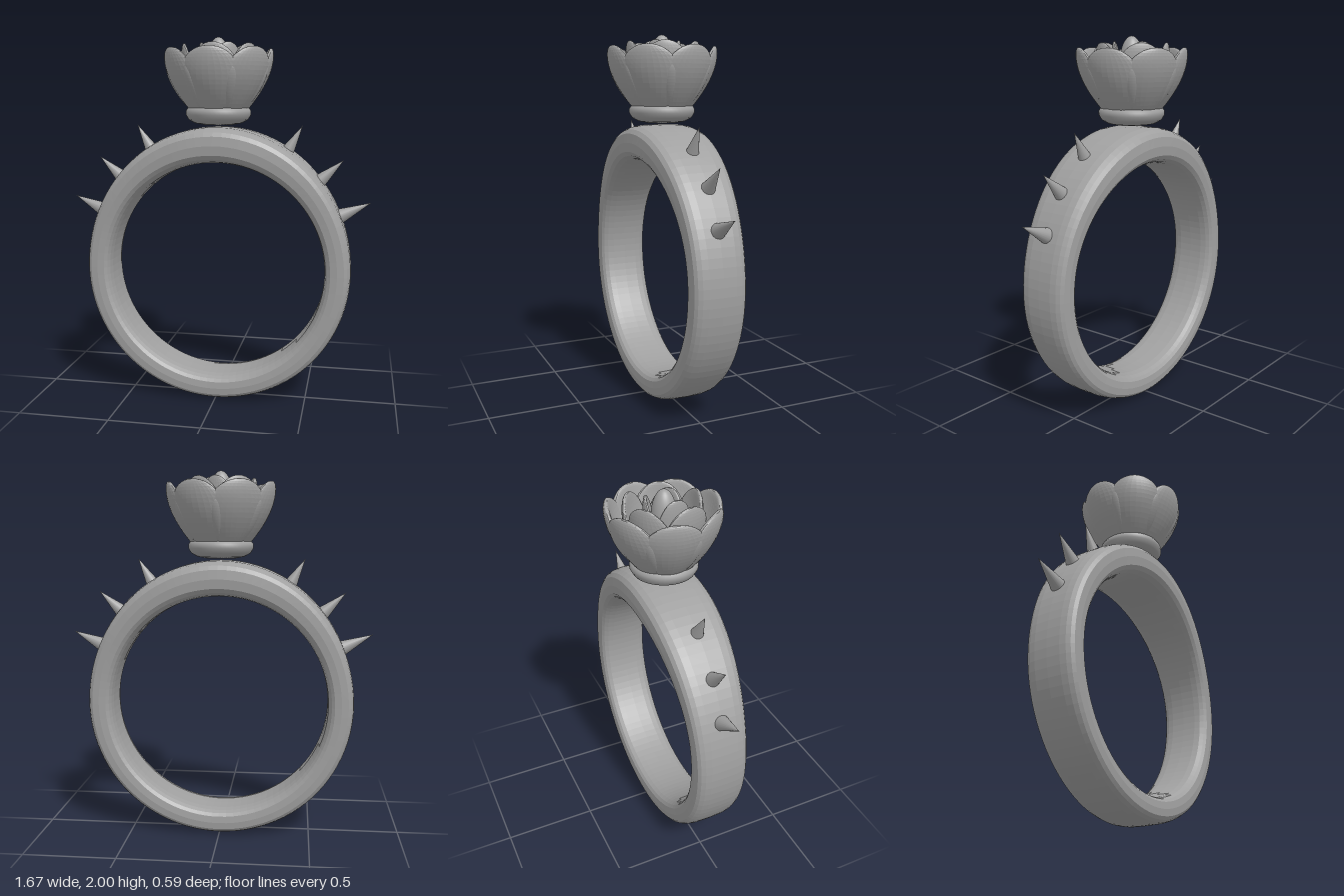
import * as THREE from 'three';

const silver = new THREE.MeshStandardMaterial({ color: 0xa0a0a0 });
silver.name = 'silver';

const CENTRE_Y = 0.735; // centre of the finger hole
const HOLE_R = 0.595;
const signedPow = (v, p) => Math.sign(v) * Math.pow(Math.abs(v), p);

// Moves every vertex by a rule
function reshape(geometry, rule) {
  const pos = geometry.attributes.position;
  for (let i = 0; i < pos.count; i++) {
    pos.setXYZ(i, ...rule(pos.getX(i), pos.getY(i), pos.getZ(i)));
  }
  return geometry;
}

function faceted(geometry) {
  const g = geometry.toNonIndexed();
  g.computeVertexNormals();
  return g;
}

function add(parent, name, geometry) {
  const mesh = new THREE.Mesh(geometry, silver);
  mesh.name = name;
  parent.add(mesh);
  return mesh;
}

// Rounded-rectangle band that grows wider and thicker towards the top
function bandGeometry() {
  return faceted(reshape(new THREE.TorusGeometry(2, 1, 20, 96), (x, y, z) => {
    const ring = Math.hypot(x, y);
    const rise = Math.pow(Math.max(0, y / ring), 2.3);
    const halfThick = (0.142 + 0.053 * rise) / 2;
    const halfWidth = 0.143 + 0.048 * rise;
    const r = HOLE_R + halfThick * (1 + signedPow(ring - 2, 0.57));
    return [x / ring * r, CENTRE_Y + y / ring * r, halfWidth * signedPow(z, 0.57)];
  }));
}

// Cupped petal: a sphere flattened and wrapped onto a bowl
function petalGeometry({ angle, half, radius, bottom, top, thick, flat = 0, twist = 0 }) {
  const geometry = new THREE.SphereGeometry(1, 32, 24);
  return faceted(reshape(geometry, (x, y, z) => {
    const h = bottom + (top - bottom) * (y + 1) / 2;
    const s = (h - 1.55) / 0.39;
    const bowl = radius * Math.sin((0.2 + 0.8 * s) * Math.PI / 2);
    const r = bowl * (1 + flat * x * x) + twist * x + thick * signedPow(z, 0.6);
    const a = angle + x * half;
    return [r * Math.sin(a), h, r * Math.cos(a)];
  }));
}

function petalRing(parent, name, count, start, options) {
  const layer = new THREE.Group();
  layer.name = name + 's';
  for (let i = 0; i < count; i++) {
    const angle = start + i * 2 * Math.PI / count;
    add(layer, name, petalGeometry({ angle, ...options }));
  }
  parent.add(layer);
}

export function createModel() {
  const model = new THREE.Group();
  model.name = 'flowerRing';
  add(model, 'band', bandGeometry());

  // Three thorns on each shoulder, pointing away from the hole
  const thorns = new THREE.Group();
  thorns.name = 'thorns';
  for (const side of [-1, 1]) {
    for (const degrees of [60, 42, 25]) {
      const a = THREE.MathUtils.degToRad(degrees);
      const thorn = add(thorns, 'thorn', new THREE.ConeGeometry(0.045, 0.2, 20));
      thorn.position.set(side * 0.82 * Math.cos(a), CENTRE_Y + 0.82 * Math.sin(a), 0);
      thorn.rotation.z = side * (a - Math.PI / 2);
    }
  }
  model.add(thorns);

  // Rounded cushion under the flower
  const profile = [
    [0, 1.531], [0.08, 1.533], [0.13, 1.543], [0.163, 1.562], [0.178, 1.588],
    [0.178, 1.608], [0.168, 1.624], [0.148, 1.631], [0, 1.632],
  ].map(([x, y]) => new THREE.Vector2(x, y));
  add(model, 'collar', new THREE.LatheGeometry(profile, 48));

  // Three petal layers around a bud, with slim ribs along the outer seams
  const flower = new THREE.Group();
  flower.name = 'flower';
  petalRing(flower, 'outerPetal', 7, 0,
    { half: 0.66, radius: 0.282, bottom: 1.55, top: 1.94, thick: 0.024 });
  petalRing(flower, 'seamRib', 7, Math.PI / 7,
    { half: 0.13, radius: 0.282, bottom: 1.62, top: 1.85, thick: 0.026 });
  petalRing(flower, 'middlePetal', 5, 0,
    { half: 0.8, radius: 0.185, bottom: 1.55, top: 1.965, thick: 0.02, flat: 0.08, twist: 0.015 });
  petalRing(flower, 'innerPetal', 3, Math.PI / 4,
    { half: 1.1, radius: 0.092, bottom: 1.58, top: 1.972, thick: 0.017, flat: 0.2, twist: 0.018 });
  const bud = add(flower, 'bud', new THREE.SphereGeometry(1, 32, 24));
  bud.scale.set(0.066, 0.15, 0.066);
  bud.position.y = 1.85;
  model.add(flower);

  return model;
}
